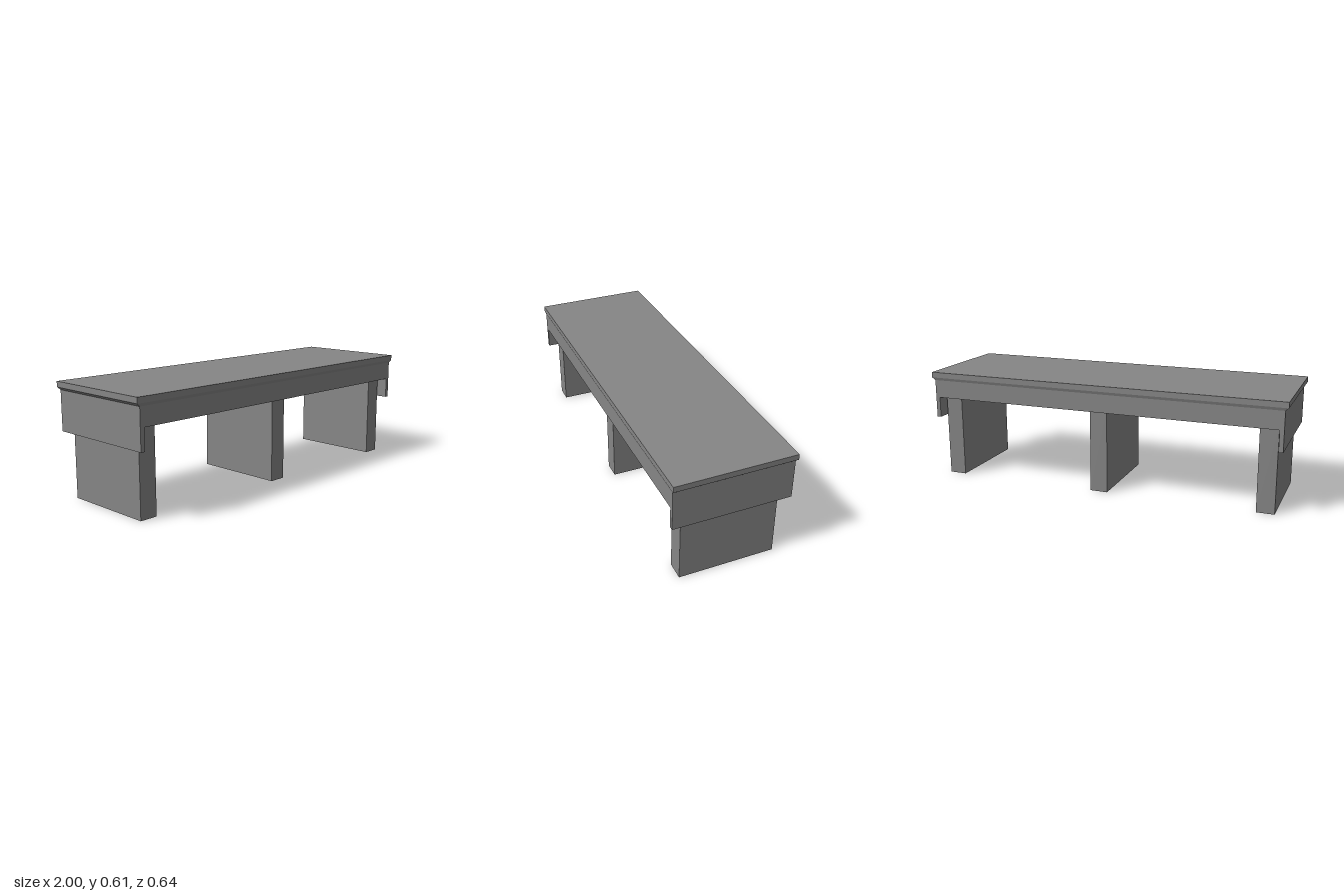
import * as THREE from 'three';

const material = new THREE.MeshStandardMaterial({ color: 0x868686, flatShading: true });

function addPart(group, name, geometry, x, y, z) {
  const mesh = new THREE.Mesh(geometry, material);
  mesh.name = name;
  mesh.position.set(x, y, z);
  group.add(mesh);
}

// Box whose bottom face is pulled in to give a chamfered underside
function taperedBox(width, height, depth, bottomWidth, bottomDepth) {
  const geometry = new THREE.BoxGeometry(width, height, depth);
  const pos = geometry.attributes.position;
  for (let i = 0; i < pos.count; i++) {
    if (pos.getY(i) < 0) {
      pos.setX(i, Math.sign(pos.getX(i)) * bottomWidth / 2);
      pos.setZ(i, Math.sign(pos.getZ(i)) * bottomDepth / 2);
    }
  }
  geometry.computeVertexNormals();
  return geometry;
}

export function createModel() {
  const group = new THREE.Group();
  group.name = 'bench';

  // Seat slab with a chamfer under its rim
  addPart(group, 'seatSlab', new THREE.BoxGeometry(2, 0.03, 0.638), 0, 0.59, 0);
  addPart(group, 'seatChamfer', taperedBox(2, 0.015, 0.638, 1.966, 0.628), 0, 0.5675, 0);

  // Solid body with a thin drop apron at each end, as one profile extruded in depth
  const outer = 0.983, inner = 0.96, top = 0.56, under = 0.461, drop = 0.347;
  const profile = new THREE.Shape([
    [-outer, drop], [-inner, drop], [-inner, under], [inner, under],
    [inner, drop], [outer, drop], [outer, top], [-outer, top],
  ].map(([x, y]) => new THREE.Vector2(x, y)));
  const body = new THREE.ExtrudeGeometry(profile, { depth: 0.628, bevelEnabled: false });
  addPart(group, 'bodyWithEndAprons', body, 0, 0, -0.314);

  // Three slab legs
  const legs = { rightLeg: -0.902, middleLeg: 0.012, leftLeg: 0.902 };
  for (const [name, x] of Object.entries(legs)) {
    addPart(group, name, new THREE.BoxGeometry(0.096, under, 0.514), x, under / 2, 0);
  }
  return group;
}
